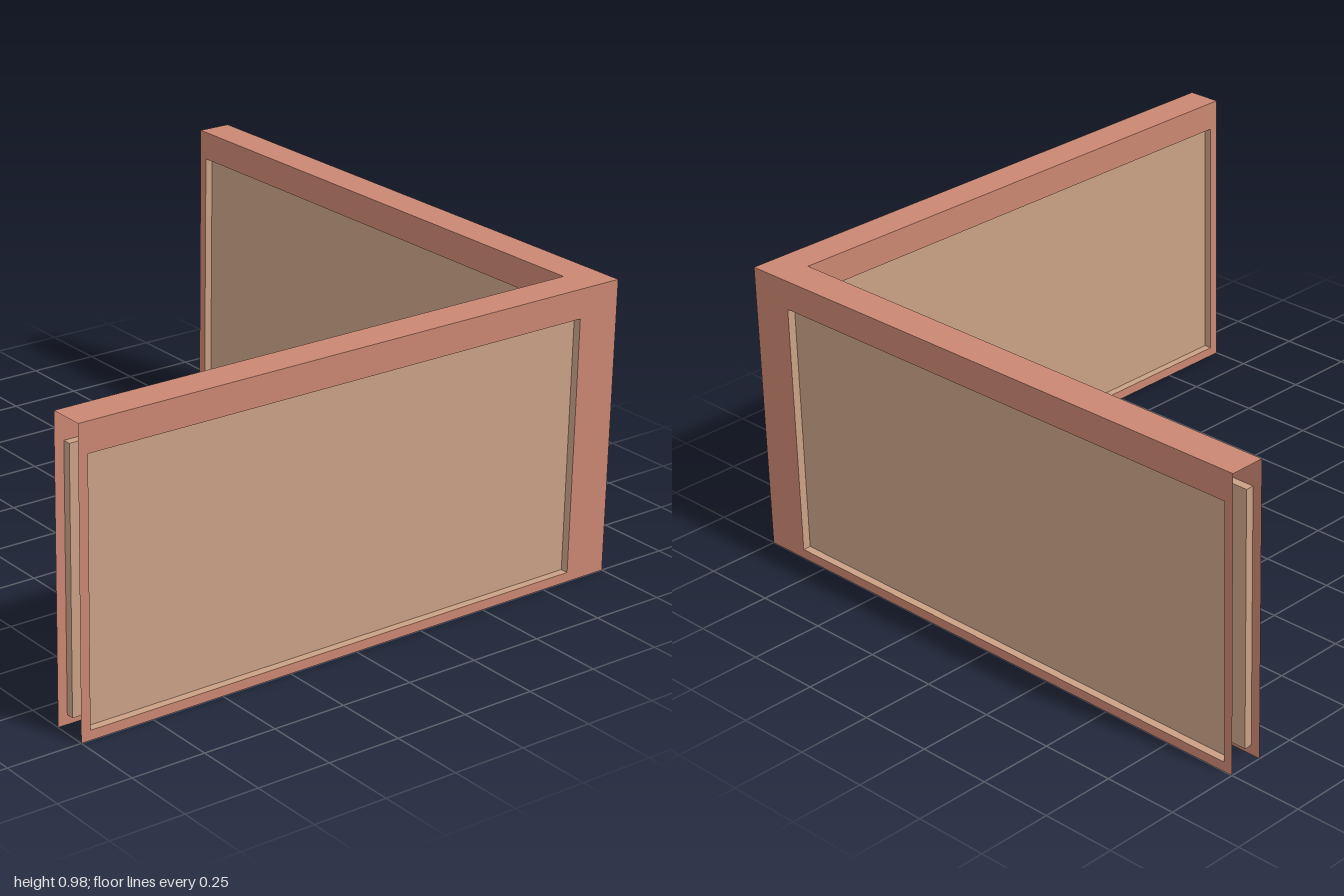
import * as THREE from 'three';

const HEIGHT = 0.98, INNER = 0.882, MARGIN = 0.032, HOLE_TOP = 0.883, DEPTH = 0.027;

function material(name, color) {
  const m = new THREE.MeshStandardMaterial({ color, side: THREE.DoubleSide });
  m.name = name;
  return m;
}

// Box open at +z, with all its faces turned inward
function recessGeometry(width, height, depth) {
  const geo = new THREE.BoxGeometry(width, height, depth);
  const index = Array.from(geo.index.array);
  index.splice(24, 6);
  geo.setIndex(index.reverse());
  geo.clearGroups();
  geo.computeVertexNormals();
  return geo;
}

export function createModel() {
  const group = new THREE.Group();
  const frameMat = material('terracotta', 0xc98672);
  const panelMat = material('tan', 0xc9a084);

  // One wall skin facing local +z, with a sunken panel between h0 and h1
  function wallSkin(name, u0, u1, h0, h1, offset, turn) {
    const skin = new THREE.Group();
    skin.name = name;
    const shape = new THREE.Shape([
      new THREE.Vector2(u0, 0), new THREE.Vector2(u1, 0),
      new THREE.Vector2(u1, HEIGHT), new THREE.Vector2(u0, HEIGHT),
    ]);
    shape.holes.push(new THREE.Path([
      new THREE.Vector2(h0, MARGIN), new THREE.Vector2(h0, HOLE_TOP),
      new THREE.Vector2(h1, HOLE_TOP), new THREE.Vector2(h1, MARGIN),
    ]));
    const frame = new THREE.Mesh(new THREE.ShapeGeometry(shape), frameMat);
    frame.name = 'frame';
    frame.position.z = offset;

    const panel = new THREE.Mesh(recessGeometry(h1 - h0, HOLE_TOP - MARGIN, DEPTH), panelMat);
    panel.name = 'sunkenPanel';
    panel.position.set((h0 + h1) / 2, (HOLE_TOP + MARGIN) / 2, offset - DEPTH / 2);

    skin.add(frame, panel);
    skin.rotation.y = turn;
    group.add(skin);
  }

  // Outer and inner skins of the two walls; ends and underside stay open
  const near = INNER - MARGIN, far = 1 - MARGIN;
  wallSkin('frontWallOuter', -1, 1, -far, near, 1, 0);
  wallSkin('frontWallInner', -INNER, 1, -near, far, -INNER, Math.PI);
  wallSkin('sideWallOuter', -1, 1, -near, far, 1, Math.PI / 2);
  wallSkin('sideWallInner', -1, INNER, -far, near, -INNER, -Math.PI / 2);

  // L-shaped cap along the top
  const cap = new THREE.Shape([
    [-1, -1], [1, -1], [1, 1], [INNER, 1], [INNER, -INNER], [-1, -INNER],
  ].map(([x, y]) => new THREE.Vector2(x, y)));
  const top = new THREE.Mesh(new THREE.ShapeGeometry(cap).rotateX(-Math.PI / 2), frameMat);
  top.name = 'topCap';
  top.position.y = HEIGHT;
  group.add(top);

  return group;
}
